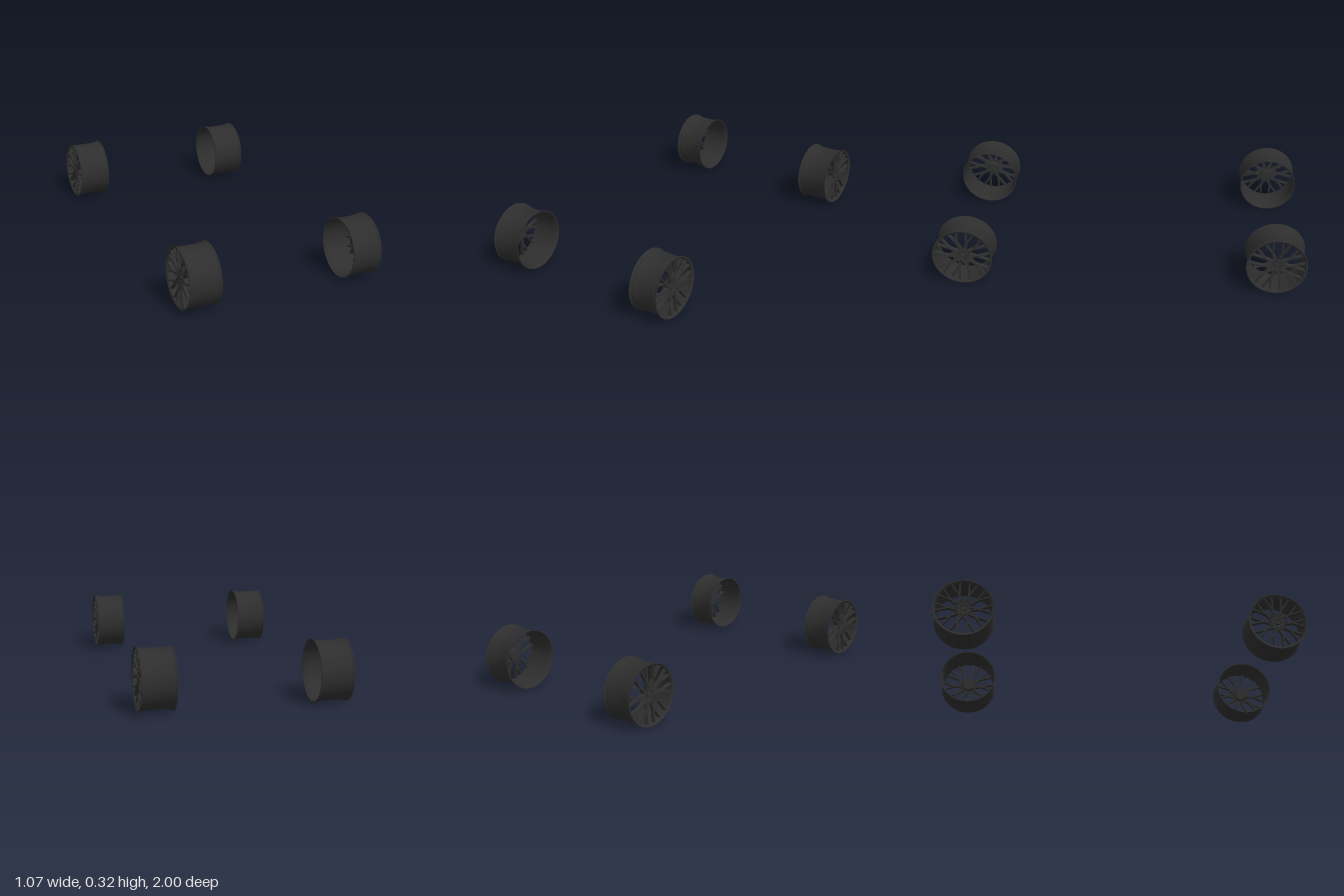
import * as THREE from 'three';
import { mergeGeometries } from 'three/addons/utils/BufferGeometryUtils.js';
import { toCreasedNormals } from 'three/addons/utils/BufferGeometryUtils.js';

const R = 0.162; // rim radius
const SPOKES = 10;
const material = new THREE.MeshStandardMaterial({ color: 0x2e2e2e, side: THREE.DoubleSide });

// Lathe around the x axis; points are [radius, x]
function latheX(points, segments = 64) {
  const g = new THREE.LatheGeometry(points.map(([r, x]) => new THREE.Vector2(r, x)), segments);
  g.rotateZ(-Math.PI / 2);
  return toCreasedNormals(g, 0.5);
}

// Outer face of the wheel dishes gently inwards towards the hub
const faceX = (r, half) => half - 0.006 - 0.012 * Math.pow(1 - Math.min(r / 0.15, 1), 1.5);

// Bar running from hub to rim, swinging to one side of its start angle
function spoke(angle, side, half) {
  const g = new THREE.BoxGeometry(1, 1, 1, 8, 1, 1);
  const p = g.attributes.position;
  const path = new THREE.CatmullRomCurve3([[0.026, 0], [0.05, 11], [0.076, 18], [0.11, 23], [0.151, 26.5]].map(([r, d]) => {
    const a = angle + side * THREE.MathUtils.degToRad(d);
    return new THREE.Vector3(0, r * Math.sin(a), r * Math.cos(a));
  }));
  for (let i = 0; i < p.count; i++) {
    const t = p.getX(i) + 0.5;
    const c = path.getPoint(t), d = path.getTangent(t);
    const front = p.getZ(i) > 0;
    const w = p.getY(i) * (front ? 0.007 : 0.0095);
    const x = faceX(Math.hypot(c.y, c.z), half) - (front ? 0 : 0.02);
    p.setXYZ(i, x, c.y + d.z * w, c.z - d.y * w);
  }
  return toCreasedNormals(g, 0.6);
}

// Wheel with its outer face towards +x
function createWheel(width) {
  const wheel = new THREE.Group();
  const h = width / 2;
  const add = (name, geometry) => {
    const mesh = new THREE.Mesh(geometry, material);
    mesh.name = name;
    wheel.add(mesh);
  };

  // Barrel with flared lips and bead seats at both edges
  add('barrel', latheX([
    [R - 0.005, -h], [R, -h], [R, -h + 0.003], [R - 0.006, -h + 0.012], [R - 0.006, -h + 0.028],
    [R - 0.009, -h + 0.034], [R - 0.009, h - 0.034],
    [R - 0.006, h - 0.028], [R - 0.006, h - 0.012], [R, h - 0.003], [R, h], [R - 0.005, h],
    [R - 0.013, h - 0.006], [R - 0.014, h - 0.028], [R - 0.013, h - 0.04],
    [R - 0.013, -h + 0.034], [R - 0.01, -h + 0.012], [R - 0.005, -h],
  ]));

  // Crossing mesh of paired spokes
  const bars = [];
  for (let i = 0; i < SPOKES; i++) {
    const a = (i + 0.5) * Math.PI * 2 / SPOKES;
    bars.push(spoke(a, 1, h), spoke(a, -1, h));
  }
  add('spokes', mergeGeometries(bars));

  // Hub with a raised centre cap
  const f = faceX(0.03, h);
  add('hub', latheX([
    [0, f - 0.035], [0.03, f - 0.035], [0.034, f - 0.02], [0.034, f - 0.003], [0.031, f],
    [0.019, f - 0.002], [0.017, f - 0.007], [0, f - 0.007],
  ], 40));
  add('centreCap', latheX([
    [0.0145, f - 0.008], [0.0145, f], [0.013, f + 0.002], [0, f + 0.003],
  ], 32));

  // Wheel bolts
  const bolts = [];
  for (let i = 0; i < 5; i++) {
    const a = i * Math.PI * 2 / 5 + Math.PI / 2;
    const g = new THREE.CylinderGeometry(0.0035, 0.0035, 0.006, 6);
    g.rotateZ(-Math.PI / 2);
    g.translate(f, 0.0245 * Math.sin(a), 0.0245 * Math.cos(a));
    bolts.push(g);
  }
  add('bolts', mergeGeometries(bolts));
  return wheel;
}

export function createModel() {
  const model = new THREE.Group();
  // name, inner edge, outer edge, z, side
  const wheels = [
    ['frontLeftWheel', 0.37, 0.533, 0.838, 1],
    ['frontRightWheel', 0.364, 0.535, 0.838, -1],
    ['rearLeftWheel', 0.356, 0.535, -0.838, 1],
    ['rearRightWheel', 0.364, 0.538, -0.838, -1],
  ];
  for (const [name, inner, outer, z, side] of wheels) {
    const wheel = createWheel(outer - inner);
    wheel.name = name;
    wheel.position.set(side * (inner + outer) / 2, R, z);
    if (side < 0) wheel.rotation.y = Math.PI;
    model.add(wheel);
  }
  return model;
}
